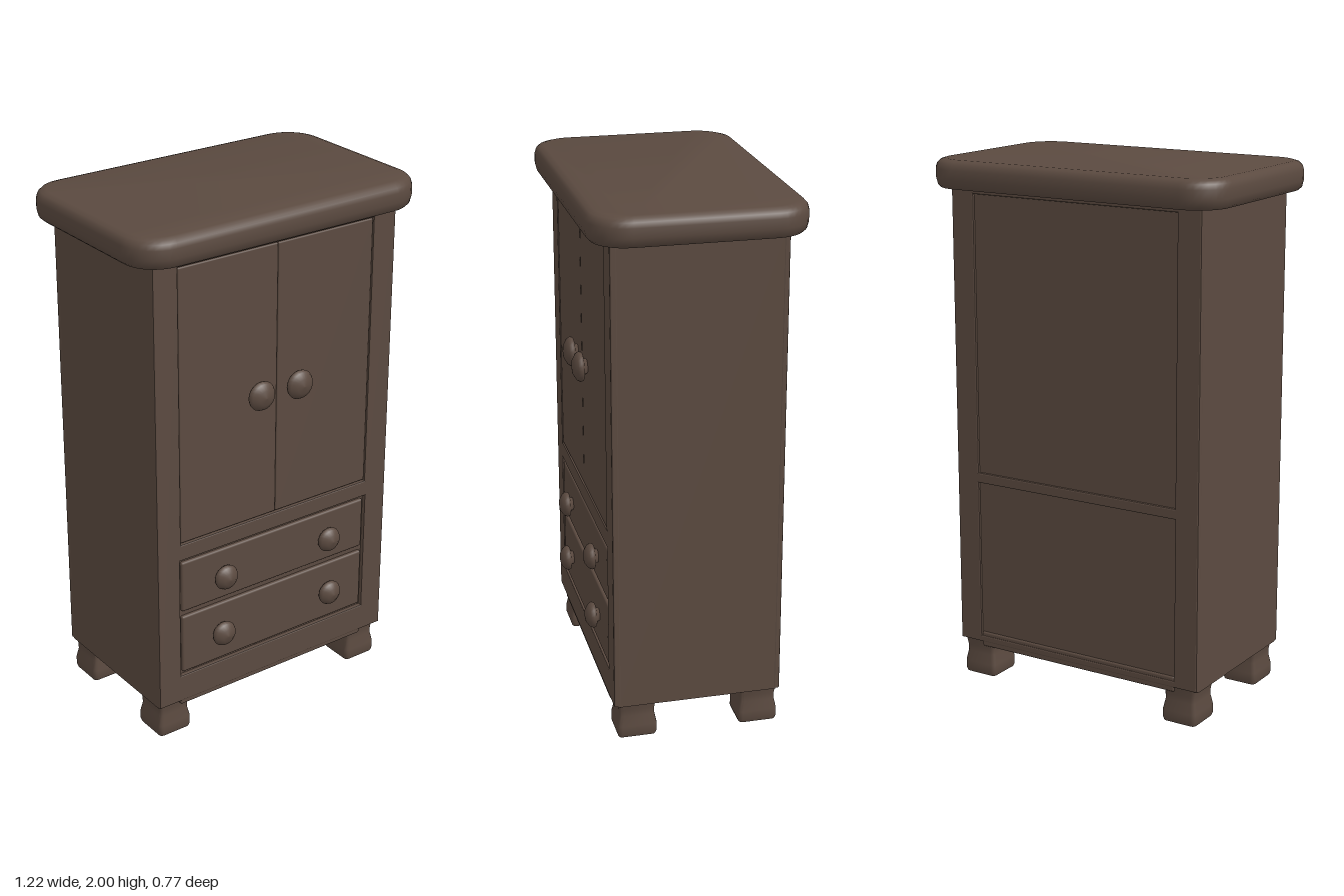
import * as THREE from 'three';
import { toCreasedNormals } from 'three/addons/utils/BufferGeometryUtils.js';
import { RoundedBoxGeometry } from 'three/addons/geometries/RoundedBoxGeometry.js';

const wood = new THREE.MeshStandardMaterial({ color: 0x5b4a40 });
wood.name = 'dark wood';

function add(parent, name, geometry, x = 0, y = 0, z = 0) {
  const mesh = new THREE.Mesh(geometry, wood);
  mesh.name = name;
  mesh.position.set(x, y, z);
  parent.add(mesh);
  return mesh;
}

// Solid through stacked rounded rectangles; each ring is [y, halfWidth, halfDepth, cornerRadius]
function loft(rings, steps = 8) {
  const pos = [], index = [], n = 4 * (steps + 1);
  for (const [y, w, d, r] of rings) {
    for (let q = 0; q < 4; q++) {
      const sx = q === 0 || q === 3 ? 1 : -1, sz = q < 2 ? 1 : -1;
      for (let i = 0; i <= steps; i++) {
        const a = (q + i / steps) * Math.PI / 2;
        pos.push(sx * (w - r) + r * Math.cos(a), y, sz * (d - r) + r * Math.sin(a));
      }
    }
  }
  for (let k = 0; k < rings.length - 1; k++) {
    for (let i = 0; i < n; i++) {
      const a = k * n + i, b = k * n + (i + 1) % n;
      index.push(a, a + n, b, b, a + n, b + n);
    }
  }
  const last = (rings.length - 1) * n;
  for (let i = 1; i < n - 1; i++) {
    index.push(0, i, i + 1, last, last + i + 1, last + i);
  }
  const g = new THREE.BufferGeometry();
  g.setAttribute('position', new THREE.Float32BufferAttribute(pos, 3));
  g.setIndex(index);
  return toCreasedNormals(g, 0.7);
}

// Flat frame with rectangular openings [x0, y0, x1, y1]
function frame(openings, depth) {
  const rect = (C, x0, y0, x1, y1) => new C([[x0, y0], [x1, y0], [x1, y1], [x0, y1]].map(p => new THREE.Vector2(...p)));
  const shape = rect(THREE.Shape, -0.521, 0.144, 0.521, 1.9);
  shape.holes = openings.map(o => rect(THREE.Path, ...o));
  return new THREE.ExtrudeGeometry(shape, {
    depth: depth - 0.006, bevelEnabled: true, bevelThickness: 0.006, bevelSize: 0.005, bevelSegments: 2
  });
}

function knobGeometry(r) {
  const profile = [[0, 0], [0.5, 0], [0.55, 0.012], [0.95, 0.019], [1, 0.028], [0.88, 0.04], [0.5, 0.053], [0, 0.058]];
  const g = new THREE.LatheGeometry(profile.map(([a, h]) => new THREE.Vector2(a * r, h)), 24);
  return g.rotateX(Math.PI / 2);
}

export function createModel() {
  const model = new THREE.Group();
  model.name = 'wardrobe';

  // Carcass and underside
  add(model, 'carcass', new THREE.BoxGeometry(1.05, 1.77, 0.598), 0, 1.02, 0);
  add(model, 'plinth', new RoundedBoxGeometry(0.86, 0.06, 0.622, 2, 0.008), 0, 0.15, 0);

  // Overhanging top with rounded corners
  add(model, 'top', loft([
    [1.895, 0.592, 0.37, 0.12], [1.905, 0.603, 0.38, 0.13], [1.93, 0.609, 0.386, 0.135],
    [1.965, 0.609, 0.386, 0.135], [1.983, 0.604, 0.381, 0.132], [1.994, 0.594, 0.371, 0.125],
    [2, 0.575, 0.352, 0.11]
  ]));

  // Front and back frames
  add(model, 'frontFrame', frame([[-0.43, 0.8, 0.43, 1.87], [-0.435, 0.245, 0.435, 0.745]], 0.021), 0, 0, 0.294);
  add(model, 'backFrame', frame([[-0.435, 0.16, 0.435, 0.785], [-0.435, 0.815, 0.435, 1.88]], 0.017), 0, 0, -0.297)
    .rotation.y = Math.PI;
  add(model, 'backPanel', new THREE.BoxGeometry(0.9, 1.74, 0.02), 0, 1.02, -0.295);

  // Doors, drawers and their knobs
  for (const s of [-1, 1]) {
    add(model, 'door', new RoundedBoxGeometry(0.423, 1.052, 0.03, 2, 0.005), s * 0.212, 1.336, 0.297);
    add(model, 'doorKnob', knobGeometry(0.056), s * 0.085, 1.31, 0.309);
  }
  for (const [y, height, knobY, knobX] of [[0.625, 0.205, 0.62, 0.24], [0.381, 0.238, 0.382, 0.25]]) {
    add(model, 'drawer', new RoundedBoxGeometry(0.842, height, 0.04, 2, 0.008), 0, y, 0.293);
    for (const s of [-1, 1]) add(model, 'drawerKnob', knobGeometry(0.049), s * knobX, knobY, 0.309);
  }

  // Flared block feet
  for (const x of [-0.447, 0.447]) {
    for (const z of [0.225, -0.235]) {
      add(model, 'foot', loft([
        [0, 0.066, 0.07, 0.014], [0.012, 0.07, 0.074, 0.016], [0.045, 0.07, 0.074, 0.016],
        [0.085, 0.062, 0.066, 0.014], [0.11, 0.063, 0.067, 0.014], [0.15, 0.07, 0.072, 0.014]
      ], 3), x, 0, z);
    }
  }
  return model;
}
